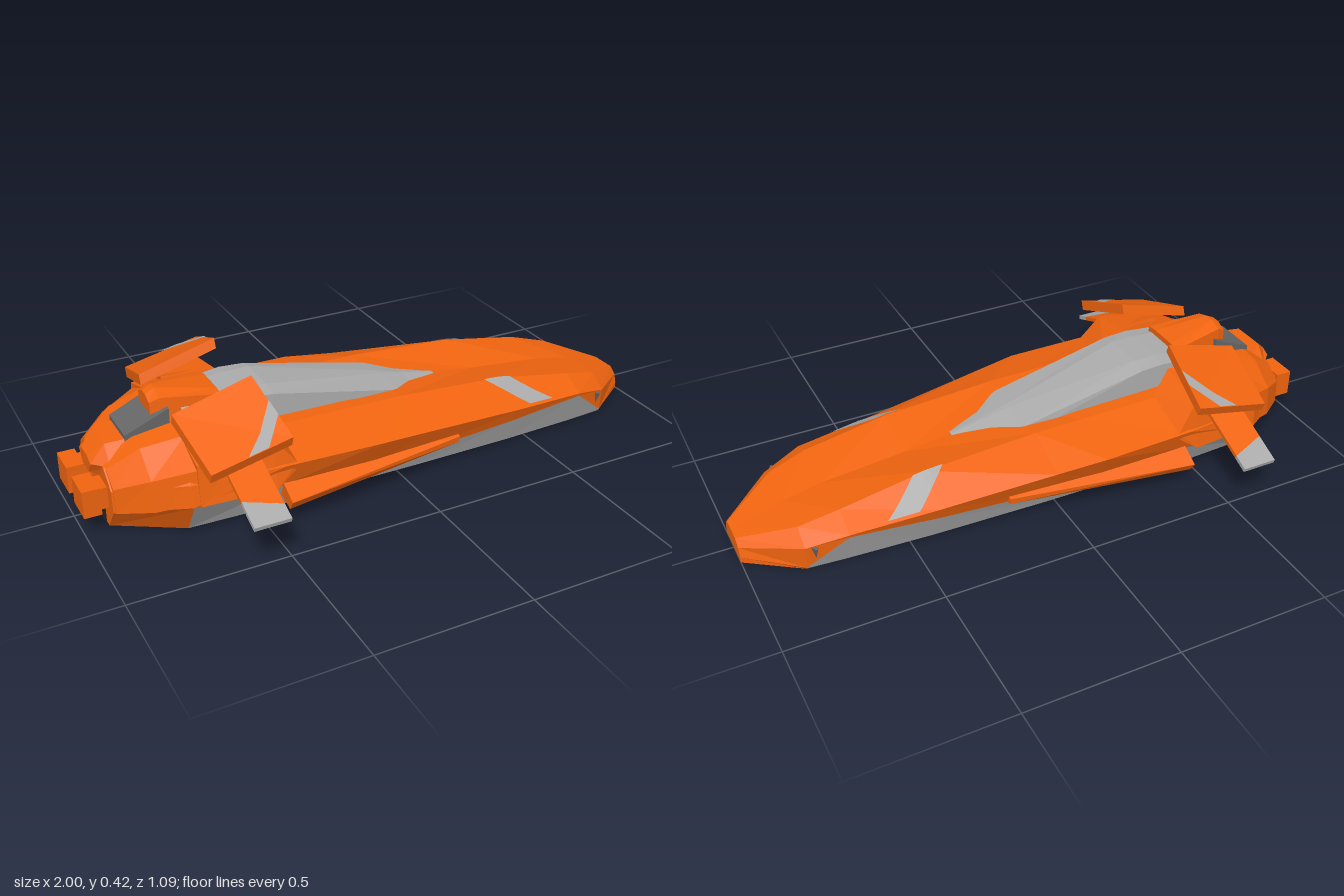
import * as THREE from 'three';

const mat = (color) => new THREE.MeshStandardMaterial({ color, flatShading: true, side: THREE.DoubleSide });
const orange = mat(0xf0640f), grey = mat(0xaaaaaa), dark = mat(0x666666), black = mat(0x222222);

// Joins rings of [x, y, z] points; closed rings also get end caps
function loft(name, rings, material, closed = true) {
  const pos = [], n = rings[0].length;
  const tri = (a, b, c) => pos.push(...a, ...b, ...c);
  for (let r = 0; r < rings.length - 1; r++) {
    const p = rings[r], q = rings[r + 1];
    for (let i = 0; i < (closed ? n : n - 1); i++) {
      const j = (i + 1) % n;
      tri(p[i], p[j], q[i]);
      tri(p[j], q[j], q[i]);
    }
  }
  if (closed) {
    const a = rings[0], b = rings[rings.length - 1];
    for (let i = 1; i < n - 1; i++) {
      tri(a[0], a[i + 1], a[i]);
      tri(b[0], b[i], b[i + 1]);
    }
  }
  const g = new THREE.BufferGeometry();
  g.setAttribute('position', new THREE.Float32BufferAttribute(pos, 3));
  g.computeVertexNormals();
  const mesh = new THREE.Mesh(g, material);
  mesh.name = name;
  return mesh;
}

// Cross-section at x from [z, y] pairs; mirrored across z = 0 when asked
const ring = (x, pts) => pts.map(([z, y]) => [x, y, z]);
const symRing = (x, pts) => ring(x, [...pts, ...pts.slice().reverse().map(([z, y]) => [-z, y])]);

// Half hull stations: keel, floor edge, panel top, chine, shoulder, deck centre
const stations = [
  [1, [[0, 0], [0.08, 0], [0.08, 0.02], [0.07, 0.05], [0.045, 0.07], [0, 0.07]]],
  [0.83, [[0, 0], [0.197, 0], [0.205, 0.01], [0.212, 0.09], [0.15, 0.13], [0, 0.125]]],
  [0.7, [[0, 0.002], [0.21, 0.003], [0.25, 0.115], [0.253, 0.125], [0.17, 0.165], [0, 0.15]]],
  [0.42, [[0, 0.01], [0.235, 0.012], [0.268, 0.1], [0.285, 0.145], [0.17, 0.215], [0, 0.178]]],
  [0.04, [[0, 0.024], [0.26, 0.026], [0.285, 0.085], [0.328, 0.18], [0.17, 0.238], [0, 0.225]]],
  [-0.13, [[0, 0.028], [0.265, 0.03], [0.295, 0.085], [0.348, 0.195], [0.17, 0.24], [0, 0.24]]],
  [-0.44, [[0, 0.022], [0.27, 0.024], [0.315, 0.12], [0.342, 0.2], [0.18, 0.25], [0, 0.25]]],
  [-0.72, [[0, 0.01], [0.24, 0.01], [0.31, 0.12], [0.3, 0.19], [0.2, 0.25], [0, 0.26]]],
  [-0.92, [[0, 0], [0.1, 0], [0.165, 0.08], [0.16, 0.15], [0.1, 0.2], [0, 0.2]]],
];

// Point on the outer deck between shoulder (t = 0) and chine (t = 1)
function deckPoint(x, t) {
  let k = 0;
  while (x < stations[k + 1][0]) k++;
  const [xa, a] = stations[k], [xb, b] = stations[k + 1], s = (x - xa) / (xb - xa);
  const at = (i, c) => a[i][c] + (b[i][c] - a[i][c]) * s;
  return [x, at(4, 1) + (at(3, 1) - at(4, 1)) * t + 0.004, at(4, 0) + (at(3, 0) - at(4, 0)) * t];
}

function buildSide(name) {
  const side = new THREE.Group();
  side.name = name;

  // Hull skin strips, closed off flat at nose and tail
  const flat = ([x, pts]) => [x, pts.map(([, y]) => [0, y])];
  const full = [flat(stations[0]), ...stations, flat(stations[8])];
  ['floor', 'lowerSide', 'upperSide', 'outerDeck', 'innerDeck'].forEach((part, i) => {
    const strip = (list, m) => loft(part, list.map(([x, p]) => ring(x, p.slice(i, i + 2))), m, false);
    if (i === 1) {
      side.add(strip(full.slice(0, 3), orange), strip(full.slice(2, 9), grey), strip(full.slice(8), orange));
    } else side.add(strip(full, orange));
  });

  // Pale deck marking
  const rows = [];
  for (let r = 0; r <= 6; r++) {
    const t = r / 6, row = [];
    for (let c = 0; c <= 4; c++) row.push(deckPoint(0.36 + 0.12 * t + 0.1 * c / 4, t * 0.93));
    rows.push(row);
  }
  side.add(loft('deckMarking', rows, grey, false));

  // Tapering side strake
  side.add(loft('sideStrake', [
    ring(0.19, [[0.285, 0.12], [0.3, 0.115], [0.298, 0.095], [0.28, 0.09]]),
    ring(-0.44, [[0.29, 0.145], [0.382, 0.095], [0.36, 0.062], [0.28, 0.085]]),
  ], orange));

  // Pylon below the raised panel
  side.add(loft('pylon', [
    ring(-0.4, [[0.15, 0.2], [0.335, 0.18], [0.335, 0.2], [0.17, 0.25]]),
    ring(-0.47, [[0.125, 0.2], [0.345, 0.13], [0.315, 0.29], [0.14, 0.32]]),
    ring(-0.7, [[0.125, 0.18], [0.315, 0.12], [0.3, 0.25], [0.13, 0.3]]),
  ], orange));

  // Raised, tilted panel with a diagonal marking
  const inF = [-0.46, 0.42, 0.15], outF = [-0.435, 0.322, 0.39];
  const inB = [-0.715, 0.35, 0.15], outB = [-0.69, 0.265, 0.39];
  const drop = ([x, y, z]) => [x, y - 0.032, z - 0.012];
  side.add(loft('raisedPanel', [[inF, outF, drop(outF), drop(inF)], [inB, outB, drop(outB), drop(inB)]], orange));
  const onPanel = (u, v) => [0, 1, 2].map((c) => (1 - u) * ((1 - v) * inF[c] + v * outF[c])
    + u * ((1 - v) * inB[c] + v * outB[c]) + (c === 1 ? 0.003 : 0));
  side.add(loft('panelMarking', [
    [onPanel(0, 0.42), onPanel(0, 0.65)], [onPanel(0.3, 0.78), onPanel(0.3, 1)], [onPanel(0.6, 1), onPanel(0.32, 1)],
  ].slice(0, 2).concat([[onPanel(0.55, 1), onPanel(0.3, 1)]]), grey, false));

  // Thin drooping fin with a pale tip
  const finRing = (z, zF) => {
    const y = (q) => 0.3 - (q - 0.2) * 0.405;
    return [[-0.63, y(z), z], [-0.515, y(zF), zF], [-0.515, y(zF) - 0.013, zF - 0.004], [-0.63, y(z) - 0.013, z - 0.004]];
  };
  side.add(loft('fin', [finRing(0.2, 0.2), finRing(0.455, 0.495)], orange));
  side.add(loft('finTip', [finRing(0.455, 0.495), finRing(0.545, 0.545)], grey));

  // Angled rear shoulder
  side.add(loft('rearShoulder', [
    ring(-0.69, [[0.1, 0.18], [0.31, 0.13], [0.3, 0.235], [0.18, 0.29], [0.1, 0.3]]),
    ring(-0.82, [[0.08, 0.15], [0.25, 0.1], [0.24, 0.2], [0.15, 0.265], [0.08, 0.27]]),
    ring(-0.915, [[0.06, 0.12], [0.172, 0.08], [0.168, 0.16], [0.11, 0.2], [0.06, 0.21]]),
  ], orange));

  // Engine block on a short neck
  const box = (name, w, h, d, x, y, z, m) => {
    const b = new THREE.Mesh(new THREE.BoxGeometry(w, h, d), m);
    b.name = name;
    b.position.set(x, y, z);
    side.add(b);
  };
  box('engineBlock', 0.055, 0.09, 0.105, -0.9725, 0.11, 0.08, orange);
  box('engineNeck', 0.04, 0.07, 0.08, -0.93, 0.11, 0.08, orange);
  box('exhaust', 0.02, 0.06, 0.07, -0.917, 0.035, 0.04, black);

  // Small nose thruster
  const jet = new THREE.Mesh(new THREE.ConeGeometry(0.022, 0.045, 3), dark);
  jet.name = 'noseThruster';
  jet.position.set(0.8, 0.07, 0.217);
  jet.rotation.z = Math.PI;
  side.add(jet);
  return side;
}

export function createModel() {
  const model = new THREE.Group();
  model.name = 'spacecraft';
  const left = buildSide('nearSide'), right = buildSide('farSide');
  right.scale.z = -1;
  model.add(left, right);

  // Canopy, wedge-shaped toward the nose
  model.add(loft('canopy', [
    symRing(0.26, [[0.025, 0.17], [0.025, 0.195], [0.005, 0.2]]),
    symRing(0.14, [[0.06, 0.19], [0.06, 0.215], [0.005, 0.225]]),
    symRing(0.06, [[0.122, 0.2], [0.115, 0.23], [0.01, 0.245]]),
    symRing(-0.38, [[0.128, 0.22], [0.122, 0.325], [0.07, 0.337]]),
    symRing(-0.46, [[0.128, 0.22], [0.122, 0.33], [0.07, 0.337]]),
    symRing(-0.66, [[0.125, 0.22], [0.12, 0.31], [0.07, 0.325]]),
  ], grey));

  // Dorsal cover behind the canopy
  model.add(loft('dorsalCover', [
    symRing(-0.535, [[0.09, 0.32], [0.088, 0.347], [0.05, 0.352]]),
    symRing(-0.72, [[0.065, 0.3], [0.06, 0.365], [0.015, 0.38]]),
    symRing(-0.75, [[0.055, 0.28], [0.05, 0.35], [0.015, 0.365]]),
  ], orange));

  // Vent and tail cap
  model.add(loft('rearVent', [
    symRing(-0.7, [[0.08, 0.22], [0.08, 0.335]]),
    symRing(-0.84, [[0.075, 0.2], [0.075, 0.275]]),
  ], dark));
  model.add(loft('tailCap', [
    symRing(-0.82, [[0.07, 0.16], [0.105, 0.21], [0.07, 0.262]]),
    symRing(-0.9, [[0.075, 0.15], [0.105, 0.2], [0.06, 0.257]]),
    symRing(-0.947, [[0.03, 0.16], [0.06, 0.2], [0.03, 0.215]]),
  ], orange));
  return model;
}
